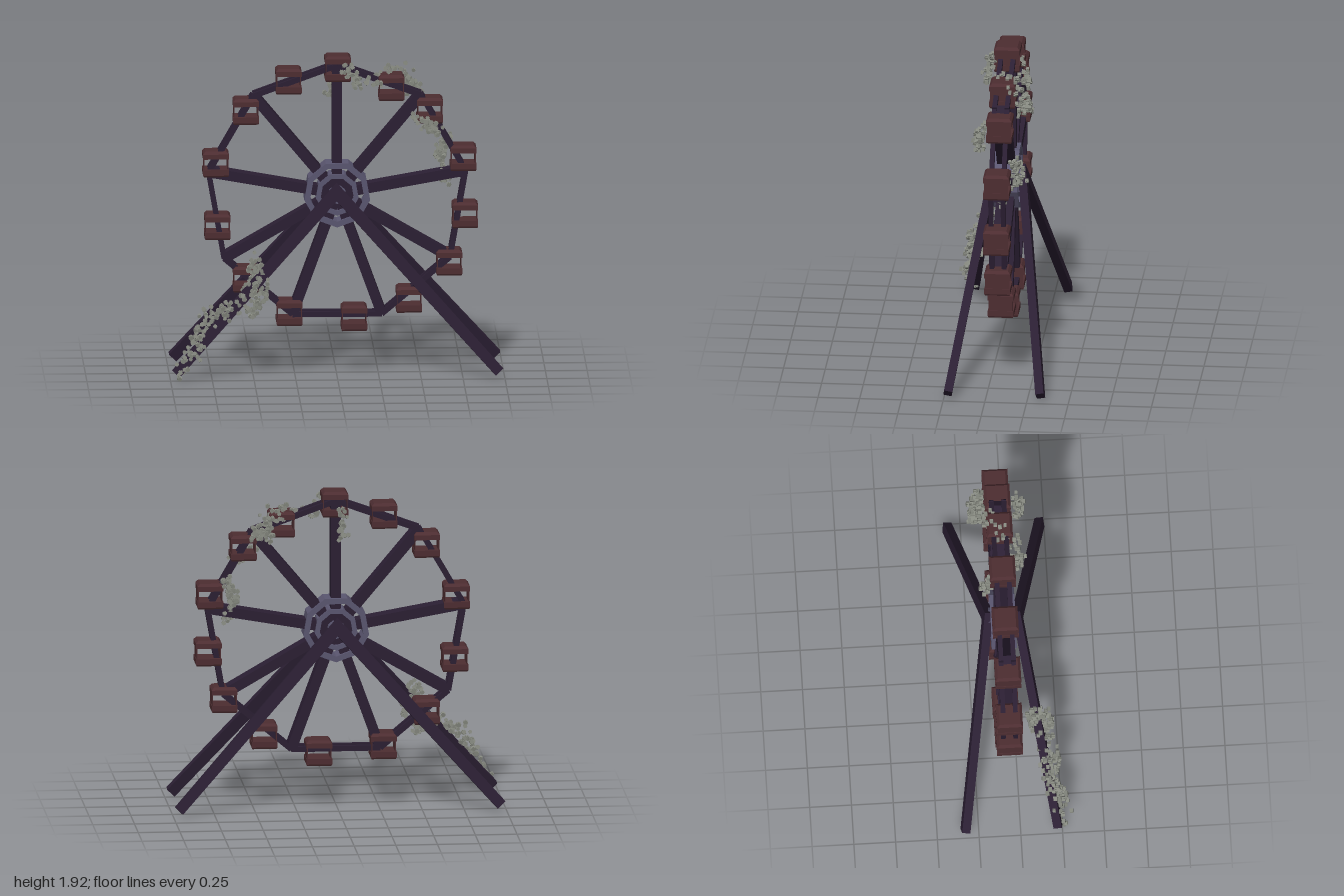
import * as THREE from 'three';
import { mergeGeometries } from 'three/addons/utils/BufferGeometryUtils.js';

const WHEEL = new THREE.Vector3(0.005, 1.09, -0.053);
const RADIUS = 0.78;
const SIDES = 9;

const mat = (color) => new THREE.MeshStandardMaterial({ color, flatShading: true });
const beamMat = mat(0x2b1f33);
const hubMat = mat(0x5a5670);
const cabinMat = mat(0x4d2d31);
const leafMat = mat(0x85887f);

function mesh(name, geometry, material, parent) {
  const m = new THREE.Mesh(geometry, material);
  m.name = name;
  parent.add(m);
  return m;
}

// Seeded random numbers in 0..1
function makeRandom(seed) {
  return () => {
    seed = (seed * 16807) % 2147483647;
    return seed / 2147483647;
  };
}

// Flat bar between two points in the wheel plane
function bar(a, b, width, depth, z) {
  const g = new THREE.BoxGeometry(a.distanceTo(b), width, depth);
  g.rotateZ(Math.atan2(b.y - a.y, b.x - a.x));
  return g.translate((a.x + b.x) / 2, (a.y + b.y) / 2, z);
}

// Many-sided ring with thickness along z
function ring(outer, inner, depth) {
  const polygon = (r) => Array.from({ length: SIDES }, (_, i) => {
    const a = Math.PI / 2 + ((i + 0.5) * Math.PI * 2) / SIDES;
    return new THREE.Vector2(r * Math.cos(a), r * Math.sin(a));
  });
  const shape = new THREE.Shape(polygon(outer));
  shape.holes.push(new THREE.Path(polygon(inner)));
  return new THREE.ExtrudeGeometry(shape, { depth, bevelEnabled: false }).translate(0, 0, -depth / 2);
}

// Block with a square outline that changes from bottom to top
function taperedBlock(bottom, top, height, y) {
  const g = new THREE.CylinderGeometry(top / Math.SQRT2, bottom / Math.SQRT2, height, 4, 1);
  return g.rotateY(Math.PI / 4).translate(0, y, 0);
}

function buildWheel() {
  const wheel = new THREE.Group();
  wheel.name = 'wheel';
  wheel.position.copy(WHEEL);
  const centre = new THREE.Vector2(0, 0);
  const corner = (i) => {
    const a = Math.PI / 2 + (i * Math.PI * 2) / SIDES;
    return new THREE.Vector2(RADIUS * Math.cos(a), RADIUS * Math.sin(a));
  };
  for (let i = 0; i < SIDES; i++) {
    mesh('spoke', bar(centre, corner(i), 0.06, 0.105, 0), beamMat, wheel);
    for (const z of [-0.037, 0.037]) {
      mesh('rimBar', bar(corner(i), corner(i + 1), 0.032, 0.028, z), beamMat, wheel);
    }
  }
  // Hub: nested rings around the axle
  mesh('outerHubRing', ring(0.2, 0.165, 0.15), hubMat, wheel);
  mesh('innerHubRing', ring(0.13, 0.1, 0.14), hubMat, wheel);
  mesh('axle', new THREE.CylinderGeometry(0.055, 0.055, 0.17, SIDES).rotateX(Math.PI / 2), hubMat, wheel);
  return wheel;
}

// Cabin with a bevelled roof, a shallow tub and two solid side walls
function buildCabin(x, y) {
  const cabin = new THREE.Group();
  cabin.name = 'cabin';
  cabin.position.set(x, y, WHEEL.z);
  const roof = mergeGeometries([
    taperedBlock(0.155, 0.155, 0.03, 0.046),
    taperedBlock(0.155, 0.125, 0.016, 0.069),
  ]);
  const tub = mergeGeometries([
    taperedBlock(0.145, 0.155, 0.01, -0.072),
    taperedBlock(0.155, 0.155, 0.034, -0.05),
  ]);
  mesh('roof', roof, cabinMat, cabin);
  mesh('tub', tub, cabinMat, cabin);
  for (const s of [-1, 1]) {
    const wall = mesh('sideWall', new THREE.BoxGeometry(0.005, 0.07, 0.145), cabinMat, cabin);
    wall.position.set(s * 0.071, -0.001, 0);
  }
  return cabin;
}

// Mitred pair of legs, leaning outward on one side of the wheel
function buildLegs(side) {
  const lean = Math.atan2(0.19, 1.08);
  const k = 1 / Math.cos(lean);
  const half = [[0, 1.165], [0.99, 0.065], [0.945, 0.022], [0, 1.055]];
  const right = half.map(([x, y]) => new THREE.Vector2(x, y * k));
  const left = [half[2], half[1]].map(([x, y]) => new THREE.Vector2(-x, y * k));
  const shape = new THREE.Shape([...right, ...left]);
  const g = new THREE.ExtrudeGeometry(shape, { depth: 0.05, bevelEnabled: false });
  g.translate(0, 0, -0.025).rotateX(-side * lean);
  g.translate(0, 0, WHEEL.z + side * 0.285);
  return g;
}

// Star-like leaf tuft: two crossed slabs, one turned against the other
function leafTuft(size) {
  const a = new THREE.BoxGeometry(size, size * 0.55, size * 0.8);
  const b = new THREE.BoxGeometry(size * 0.55, size, size * 0.8);
  return mergeGeometries([a, b]);
}

// Tufts scattered along a path
function buildVine(points, count, spread, random) {
  const curve = new THREE.CatmullRomCurve3(points.map((p) => new THREE.Vector3(...p)));
  const jitter = () => (random() + random() - 1) * spread;
  const tufts = [];
  for (let i = 0; i < count; i++) {
    const p = curve.getPoint(random());
    const g = leafTuft(0.021 + 0.007 * random());
    g.rotateZ(random() * Math.PI).rotateX((random() - 0.5) * 0.5);
    g.translate(p.x + jitter(), Math.max(0.016, p.y + jitter()), p.z + jitter());
    tufts.push(g);
  }
  return mergeGeometries(tufts);
}

export function createModel() {
  const model = new THREE.Group();
  model.name = 'ferrisWheel';
  model.add(buildWheel());

  // Cabins hang upright around the rim
  const cabins = [
    [0.01, 1.852], [-0.285, 1.777], [-0.54, 1.595], [-0.72, 1.277], [-0.71, 0.895],
    [-0.54, 0.575], [-0.28, 0.37], [0.107, 0.335], [0.435, 0.445], [0.675, 0.67],
    [0.77, 0.957], [0.76, 1.305], [0.56, 1.595], [0.33, 1.735],
  ];
  for (const [x, y] of cabins) model.add(buildCabin(x, y));

  mesh('frontLegs', buildLegs(1), beamMat, model);
  mesh('backLegs', buildLegs(-1), beamMat, model);

  // Overgrowth: [path, tuft count, spread]
  const vines = [
    [[[-0.95, 0.06, 0.25], [-0.88, 0.18, 0.25], [-0.8, 0.3, 0.23]], 45, 0.06],
    [[[-0.82, 0.3, 0.22], [-0.72, 0.42, 0.2], [-0.6, 0.42, 0.18]], 60, 0.07],
    [[[-0.58, 0.5, 0.16], [-0.48, 0.58, 0.13], [-0.5, 0.72, 0.09]], 70, 0.07],
    [[[-0.53, 0.42, 0.17], [-0.46, 0.47, 0.2], [-0.45, 0.58, 0.15]], 45, 0.05],
    [[[-0.03, 1.63, -0.15], [-0.03, 1.72, -0.17], [-0.02, 1.82, -0.14]], 28, 0.04],
    [[[0.05, 1.87, 0.04], [0.12, 1.79, 0.05], [0.25, 1.77, 0.03]], 40, 0.045],
    [[[0.25, 1.78, -0.02], [0.37, 1.81, -0.13], [0.47, 1.7, -0.21]], 60, 0.06],
    [[[0.37, 1.65, -0.19], [0.46, 1.72, -0.21], [0.52, 1.67, -0.18]], 40, 0.05],
    [[[0.46, 1.57, 0.05], [0.54, 1.53, 0.08], [0.6, 1.47, 0.06]], 45, 0.05],
    [[[0.61, 1.27, -0.16], [0.65, 1.34, -0.18], [0.67, 1.42, -0.15]], 45, 0.05],
    [[[0.63, 1.27, -0.12], [0.66, 1.2, -0.08], [0.65, 1.14, -0.06]], 22, 0.035],
  ];
  const random = makeRandom(4711);
  for (const [path, count, spread] of vines) {
    mesh('vine', buildVine(path, count, spread, random), leafMat, model);
  }
  return model;
}
